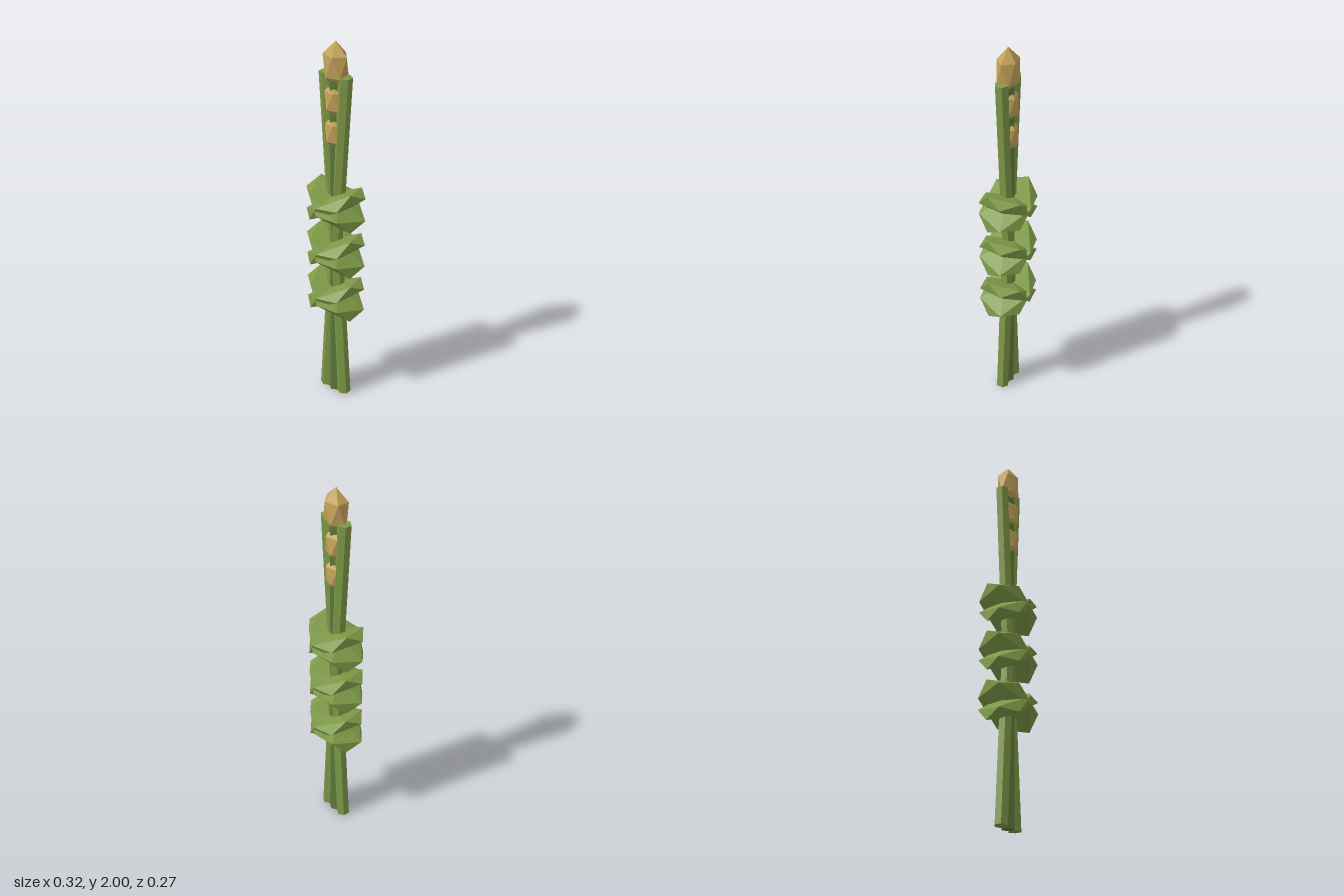
import * as THREE from 'three';

export function createModel() {
  const model = new THREE.Group();
  const mat = (name, color) => Object.assign(
    new THREE.MeshStandardMaterial({ color, flatShading: true }), { name });
  const green = mat('leaf green', 0x7f9a48);
  const darkGreen = mat('deep stem green', 0x5f7c3c);
  const gold = mat('bud gold', 0xc4a35a);

  const add = (name, geometry, material, y) => {
    const mesh = new THREE.Mesh(geometry, material);
    mesh.name = name;
    mesh.position.y = y;
    model.add(mesh);
    return mesh;
  };

  // Faceted ellipsoid standing on one corner
  const nugget = (rx, ry, rz, turn = 0) => {
    const g = new THREE.IcosahedronGeometry(1, 0);
    g.rotateZ(-Math.atan(2 / (1 + Math.sqrt(5))));
    g.rotateY(turn);
    g.scale(rx, ry, rz);
    g.computeVertexNormals();
    return g;
  };

  // Stems: one upright, two leaning across it
  const stem = new THREE.CylinderGeometry(0.035, 0.035, 1.836, 6);
  add('centreStem', stem, darkGreen, 0.92);
  add('leaningStemRight', stem, green, 0.92).rotation.z = 0.067;
  add('leaningStemLeft', stem, green, 0.92).rotation.z = -0.067;

  // Leaf clusters: two flat leaves crossing in an X
  const leaf = nugget(0.197, 0.056, 0.153, -Math.PI / 2);
  leaf.rotateZ(Math.PI / 6);
  for (const y of [0.617, 0.881, 1.145]) {
    add('leafRisingLeft', leaf, green, y);
    add('leafRisingRight', leaf, green, y).rotation.y = Math.PI;
  }

  // Buds: a large tip and two smaller ones below
  add('tipBud', nugget(0.075, 0.12, 0.059), gold, 1.88);
  const bud = nugget(0.064, 0.1, 0.055);
  for (const y of [1.705, 1.54]) add('sideBud', bud, gold, y);

  return model;
}
